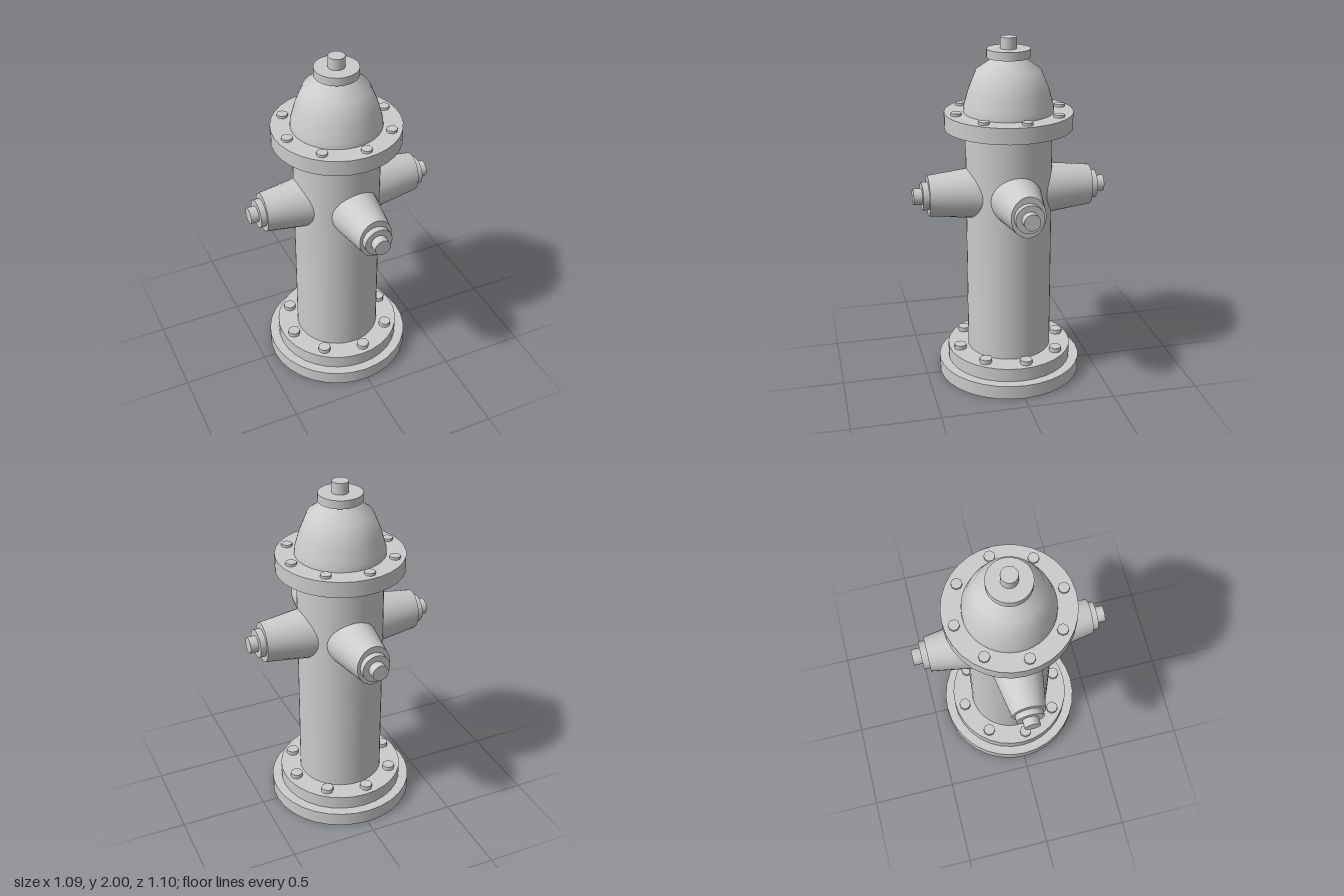
import * as THREE from 'three';

const material = new THREE.MeshStandardMaterial({ color: 0xcccccc });
const AXIS_X = -0.011; // the barrel sits slightly off the nozzle cross

function add(parent, name, geometry) {
  const mesh = new THREE.Mesh(geometry, material);
  mesh.name = name;
  parent.add(mesh);
  return mesh;
}

// Upright disc or cylinder between two heights
function drum(parent, name, radius, y0, y1, sides = 32) {
  const geometry = new THREE.CylinderGeometry(radius, radius, y1 - y0, sides);
  return add(parent, name, geometry.translate(0, (y0 + y1) / 2, 0));
}

// Ring of eight bolt heads on a flange
function boltRing(parent, name, y0, y1, radius) {
  const ring = new THREE.Group();
  ring.name = name;
  for (let i = 0; i < 8; i++) {
    const a = (i * 45 - 6.3) * Math.PI / 180;
    const bolt = drum(ring, 'bolt', radius, y0, y1, 8);
    bolt.position.set(0.304 * Math.cos(a), 0, 0.304 * Math.sin(a));
    bolt.rotation.y = Math.PI / 8 - a;
  }
  parent.add(ring);
}

// Nozzle pointing along +z: round at the barrel, narrowing to an oval mouth
function nozzle(name, coneEnd, capEnd, nutEnd) {
  const group = new THREE.Group();
  group.name = name;
  const start = 0.15;
  const cone = new THREE.CylinderGeometry(0.117, 0.151, coneEnd - start, 32);
  cone.rotateX(Math.PI / 2).translate(0, 0, (start + coneEnd) / 2);
  const p = cone.attributes.position;
  for (let i = 0; i < p.count; i++) {
    const t = (p.getZ(i) - start) / (coneEnd - start);
    p.setX(i, p.getX(i) * (1 - 0.18 * t));
  }
  add(group, 'nozzleBody', cone);
  const stub = (part, r, z0, z1) => add(group, part,
    new THREE.CylinderGeometry(r, r, z1 - z0, 24).rotateX(Math.PI / 2).translate(0, 0, (z0 + z1) / 2));
  stub('nozzleCap', 0.08, coneEnd - 0.02, capEnd);
  stub('nozzleNut', 0.046, capEnd - 0.01, nutEnd);
  return group;
}

export function createModel() {
  const model = new THREE.Group();
  model.name = 'fireHydrant';

  const barrel = new THREE.Group();
  barrel.name = 'barrelAssembly';
  barrel.position.x = AXIS_X;
  model.add(barrel);

  // Stepped base, column and upper flange
  drum(barrel, 'base', 0.418, 0, 0.082);
  drum(barrel, 'lowerFlange', 0.363, 0.082, 0.162);
  drum(barrel, 'column', 0.244, 0.162, 1.5, 48);
  drum(barrel, 'upperFlange', 0.36, 1.496, 1.587);
  boltRing(barrel, 'lowerBolts', 0.155, 0.188, 0.036);
  boltRing(barrel, 'upperBolts', 1.58, 1.602, 0.031);

  // Domed bonnet
  const profile = [[0.252, 1.587], [0.25, 1.62], [0.223, 1.714], [0.18, 1.82], [0.075, 1.892]]
    .map(([r, y]) => new THREE.Vector2(r, y));
  add(barrel, 'bonnet', new THREE.LatheGeometry(profile, 48));

  // Operating cap and nut on top
  drum(barrel, 'topCap', 0.122, 1.889, 1.936);
  drum(barrel, 'topNut', 0.046, 1.93, 2, 24);

  // Four nozzles in a cross
  ['frontNozzle', 'leftNozzle', 'backNozzle', 'rightNozzle'].forEach((name, i) => {
    const side = i % 2 === 1;
    const n = side ? nozzle(name, 0.463, 0.497, 0.543) : nozzle(name, 0.468, 0.503, 0.552);
    n.position.set(side ? 0 : 0.005, 1.128, 0);
    n.rotation.y = i * Math.PI / 2;
    model.add(n);
  });

  return model;
}
